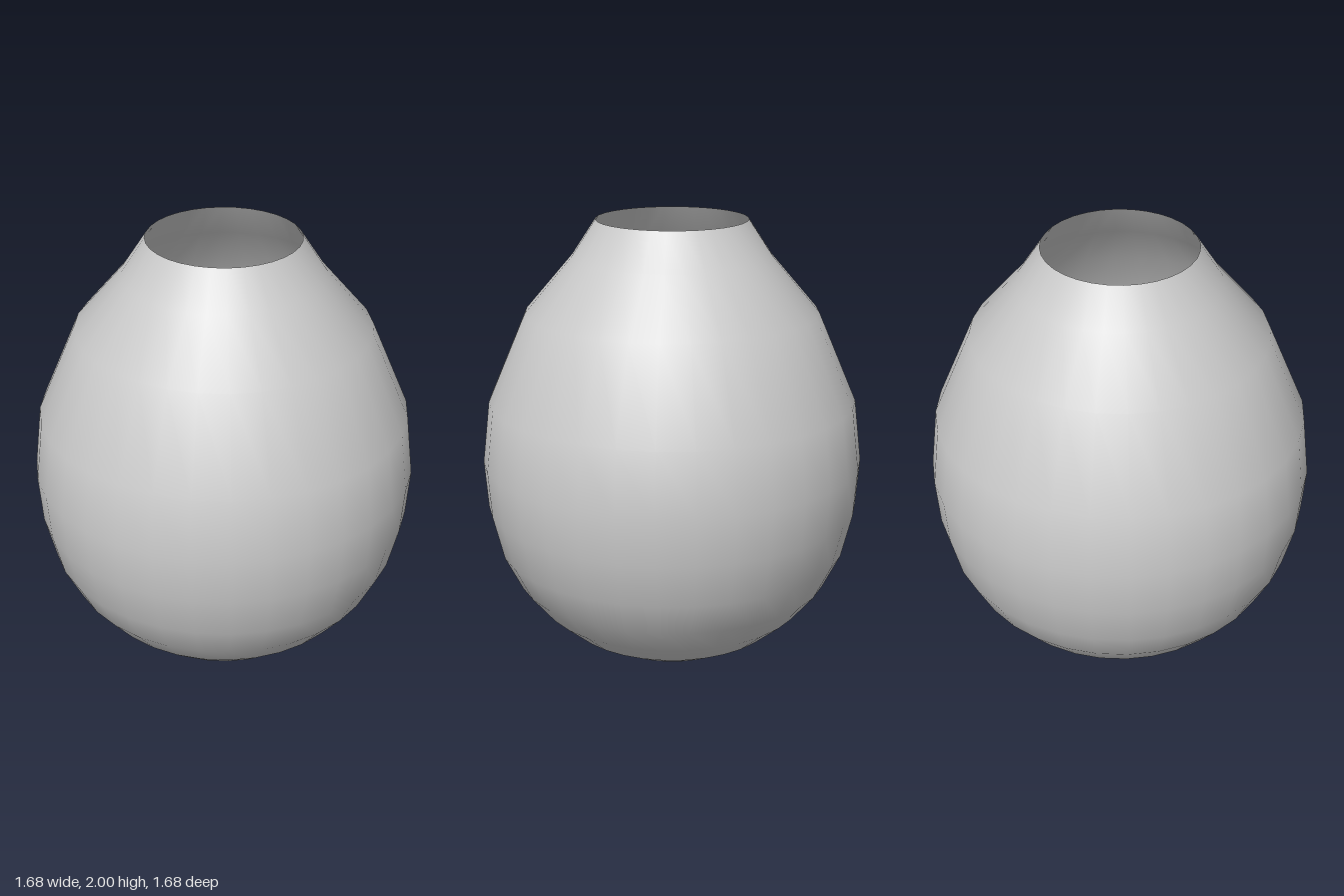
import * as THREE from 'three';

export function createModel() {
  const group = new THREE.Group();
  group.name = 'vase';

  // Thin egg-shaped shell: half-profile (radius, height) from base to open rim
  const profile = [
    [0, 0], [0.164, 0.018], [0.321, 0.068], [0.467, 0.144], [0.594, 0.25],
    [0.698, 0.375], [0.776, 0.53], [0.824, 0.725], [0.84, 0.935],
    [0.808, 1.208], [0.64, 1.6], [0.435, 1.84], [0.33, 2],
  ].map(([r, y]) => new THREE.Vector2(r, y));

  const shell = new THREE.Mesh(
    new THREE.LatheGeometry(profile, 32),
    new THREE.MeshStandardMaterial({ color: 0xcccccc, side: THREE.DoubleSide })
  );
  shell.name = 'vaseShell';
  group.add(shell);

  return group;
}
